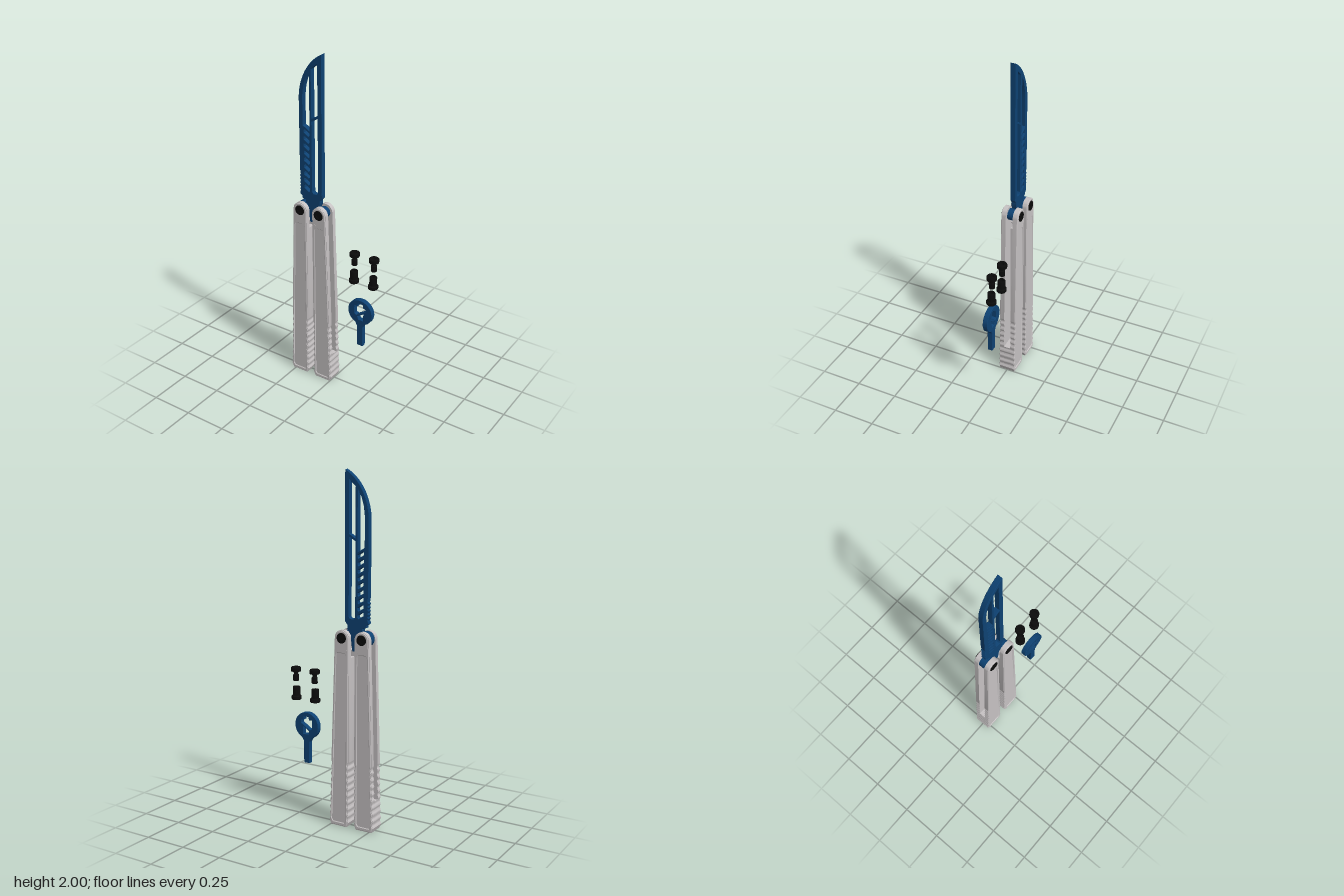
import * as THREE from 'three';
import { toCreasedNormals } from 'three/addons/utils/BufferGeometryUtils.js';

const AXIS = -0.134;          // mirror line between the two handles
const PIVOT = [0.063, 1.095]; // pivot of a handle, measured from that line

const paint = (name, color) => {
  const m = new THREE.MeshStandardMaterial({ color });
  m.name = name;
  return m;
};

const toShape = (pts) => new THREE.Shape(pts.map(([x, y]) => new THREE.Vector2(x, y)));
const toHole = (pts) => new THREE.Path(pts.map(([x, y]) => new THREE.Vector2(x, y)));

// Extrudes a shape between two z planes, optionally with chamfered rims
function plate(shape, z0, z1, bevel = 0) {
  const g = new THREE.ExtrudeGeometry(shape, {
    depth: z1 - z0 - 2 * bevel, bevelEnabled: bevel > 0, bevelThickness: bevel,
    bevelSize: bevel, bevelOffset: -bevel, bevelSegments: 1, curveSegments: 24,
  });
  g.translate(0, 0, z0 + bevel);
  return toCreasedNormals(g, 0.5);
}

function add(parent, name, geometry, material, x = 0, y = 0, z = 0) {
  const mesh = new THREE.Mesh(geometry, material);
  mesh.name = name;
  mesh.position.set(x, y, z);
  parent.add(mesh);
  return mesh;
}

const lathe = (pts) => toCreasedNormals(
  new THREE.LatheGeometry(pts.map(([r, y]) => new THREE.Vector2(r, y)), 24), 0.5);

// Handle edges: the grip end is scalloped on both sides
const scallop = (y) => (y > 0.03 && y < 0.39 ? 0.006 * (0.5 - 0.5 * Math.cos((y - 0.03) / 0.04 * 2 * Math.PI)) : 0);
const innerEdge = (y) => 0.019 + scallop(y);
const outerEdge = (y) => 0.143 - 0.035 * Math.min(1, y / PIVOT[1]) - scallop(y);
function edgePoints(edge, top) {
  const pts = [];
  for (let y = 0.03; y < Math.min(top, 0.391); y += 0.04 / 6) pts.push([edge(y), y]);
  pts.push([edge(top), top]);
  return pts;
}

function handleOutline() {
  const pts = [[0.031, 0.003], ...edgePoints(innerEdge, PIVOT[1])];
  for (let i = 1; i < 16; i++) {
    const a = Math.PI * (1 - i / 16);
    pts.push([PIVOT[0] + 0.0445 * Math.cos(a), PIVOT[1] + 0.0445 * Math.sin(a)]);
  }
  pts.push(...edgePoints(outerEdge, PIVOT[1]).reverse(), [0.131, 0.003]);
  return pts;
}

// One handle: two side plates around an outward-opening channel
function makeHandle(metal, black) {
  const g = new THREE.Group();
  const outline = handleOutline();
  const slab = plate(toShape(outline), 0.021, 0.047);
  const rimShape = toShape(outline);
  rimShape.holes.push(toHole([
    [0.046, 0.028], [0.116, 0.028], [0.124, 0.04], [0.095, 0.995],
    [0.088, 1.008], [0.045, 1.008], [0.038, 0.995], [0.038, 0.04],
  ]));
  const rim = plate(rimShape, 0.036, 0.051, 0.006);
  for (const turn of [0, 1]) {
    const side = new THREE.Group();
    side.name = turn ? 'backSidePlate' : 'frontSidePlate';
    add(side, 'slab', slab, metal);
    add(side, 'raisedRim', rim, metal);
    if (turn) {
      // mirrored outline: half turn about the vertical, then reflected in x
      side.children.forEach((m) => { m.geometry = mirrorZ(m.geometry); });
    }
    g.add(side);
  }
  // spine wall and solid grip end
  const core = [[0.031, 0.003], ...edgePoints(innerEdge, 0.985), [0.045, 0.985], [0.045, 0.18],
    ...edgePoints(outerEdge, 0.18).reverse(), [0.131, 0.003]];
  add(g, 'channelSpine', plate(toShape(core), -0.021, 0.021), metal);
  // stop pin
  add(g, 'stopPin', new THREE.CylinderGeometry(0.008, 0.008, 0.104, 12).rotateX(Math.PI / 2), metal, 0.035, 1.025);
  // pivot screw with hex sockets at both ends
  add(g, 'pivotShaft', new THREE.CylinderGeometry(0.02, 0.02, 0.104, 24).rotateX(Math.PI / 2), black, ...PIVOT);
  const head = new THREE.Shape().absarc(0, 0, 0.029, 0, Math.PI * 2);
  head.holes.push(toHole(Array.from({ length: 6 }, (_, i) =>
    [0.013 * Math.cos(i * Math.PI / 3), 0.013 * Math.sin(i * Math.PI / 3)])));
  for (const z of [-0.056, 0.046]) add(g, 'pivotHead', plate(head, z, z + 0.01, 0.002), black, ...PIVOT);
  return g;
}

// Reflects a non-indexed geometry in z and restores the winding
function mirrorZ(geometry) {
  const g = geometry.clone().scale(1, 1, -1);
  for (const key of Object.keys(g.attributes)) {
    const { array, itemSize: n } = g.attributes[key];
    for (let i = 0; i < array.length; i += 3 * n) {
      for (let k = 0; k < n; k++) {
        [array[i + n + k], array[i + 2 * n + k]] = [array[i + 2 * n + k], array[i + n + k]];
      }
    }
  }
  return g;
}

function makeBlade(blue) {
  const g = new THREE.Group();
  g.name = 'blade';
  const s = new THREE.Shape();
  s.moveTo(-0.07, 2.0);
  [[-0.07, 1.185], [-0.085, 1.165], [-0.085, 1.14], [-0.11, 1.08], [-0.118, 1.02], [-0.153, 1.02],
    [-0.16, 1.08], [-0.182, 1.14], [-0.182, 1.15], [-0.205, 1.158], [-0.205, 1.172], [-0.218, 1.18]]
    .forEach((p) => s.lineTo(...p));
  // finger notches at the base of the edge
  for (let y = 1.19; y < 1.31; y += 0.02) {
    s.lineTo(-0.218, y);
    s.lineTo(-0.213, y + 0.01);
  }
  s.lineTo(-0.218, 1.33);
  s.lineTo(-0.218, 1.74);
  s.bezierCurveTo(-0.217, 1.84, -0.165, 1.95, -0.07, 2.0);
  // long windows
  s.holes.push(toHole([[-0.135, 1.21], [-0.128, 1.2], [-0.104, 1.2], [-0.097, 1.21], [-0.097, 1.645], [-0.135, 1.622]]));
  s.holes.push(toHole([[-0.135, 1.638], [-0.097, 1.661], [-0.097, 1.945], [-0.135, 1.912]]));
  s.holes.push(toHole([[-0.192, 1.59], [-0.15, 1.565], [-0.15, 1.895], [-0.17, 1.86], [-0.185, 1.81], [-0.192, 1.755]]));
  // slanted vents
  for (let i = 0; i < 9; i++) {
    const y = 1.208 + i * 0.041;
    s.holes.push(toHole([[-0.187, y + 0.014], [-0.157, y - 0.004], [-0.151, y + 0.002], [-0.151, y + 0.014],
      [-0.181, y + 0.034], [-0.187, y + 0.03]]));
  }
  add(g, 'bladePlate', plate(s, -0.015, 0.015, 0.002), blue);
  // tang lobes around the pivots
  for (const [u, r] of [[-PIVOT[0], 0.043], [PIVOT[0], 0.033]]) {
    add(g, 'tangLobe', new THREE.CylinderGeometry(r, r, 0.036, 24).rotateX(Math.PI / 2), blue, AXIS + u, PIVOT[1]);
  }
  return g;
}

// Flat key: round head with a split window and a straight stem
function makeKey(blue) {
  const s = new THREE.Shape();
  const r = 0.079, a = Math.asin(0.032 / r);
  s.moveTo(-0.019, -0.223);
  s.lineTo(0.019, -0.223);
  s.lineTo(0.019, -0.095);
  s.absarc(0, 0, r, -Math.PI / 2 + a, Math.PI * 1.5 - a, false);
  s.lineTo(-0.019, -0.095);
  s.holes.push(toHole([[-0.036, -0.016], [-0.022, -0.022], [0.036, 0.014], [0.036, 0.03], [0.02, 0.034],
    [0.018, 0.054], [-0.012, 0.054], [-0.016, 0.035], [-0.036, 0.038]]));
  s.holes.push(toHole([[-0.016, -0.03], [0.022, -0.006], [0.022, -0.05], [-0.01, -0.05]]));
  return plate(s, -0.007, 0.023, 0.002);
}

export function createModel() {
  const model = new THREE.Group();
  model.name = 'foldingTrainer';
  const metal = paint('silver metal', 0xc6c2c3);
  const blue = paint('dark blue', 0x0e4273);
  const black = paint('black', 0x0b0b0b);

  model.add(makeBlade(blue));
  for (const side of [1, -1]) {
    const handle = makeHandle(metal, black);
    handle.name = side > 0 ? 'leftHandle' : 'rightHandle';
    handle.position.x = AXIS;
    if (side < 0) handle.rotation.y = Math.PI;
    model.add(handle);
  }

  // loose hardware
  const screw = lathe([[0, 0.81], [0.015, 0.81], [0.017, 0.813], [0.017, 0.845], [0.012, 0.85], [0.012, 0.858],
    [0.02, 0.864], [0.028, 0.866], [0.029, 0.87], [0.029, 0.887], [0.026, 0.891], [0.014, 0.891], [0.012, 0.878], [0, 0.878]]);
  const barrel = lathe([[0, 0.712], [0.012, 0.712], [0.014, 0.7], [0.026, 0.7], [0.029, 0.704], [0.029, 0.72],
    [0.022, 0.725], [0.022, 0.772], [0.02, 0.776], [0.014, 0.776], [0.014, 0.74], [0, 0.74]]);
  for (const x of [0.12, 0.247]) {
    add(model, 'looseScrew', screw, black, x, 0, -0.027);
    add(model, 'looseBarrel', barrel, black, x, 0, -0.023);
  }
  add(model, 'key', makeKey(blue), blue, 0.191, 0.545);
  return model;
}
